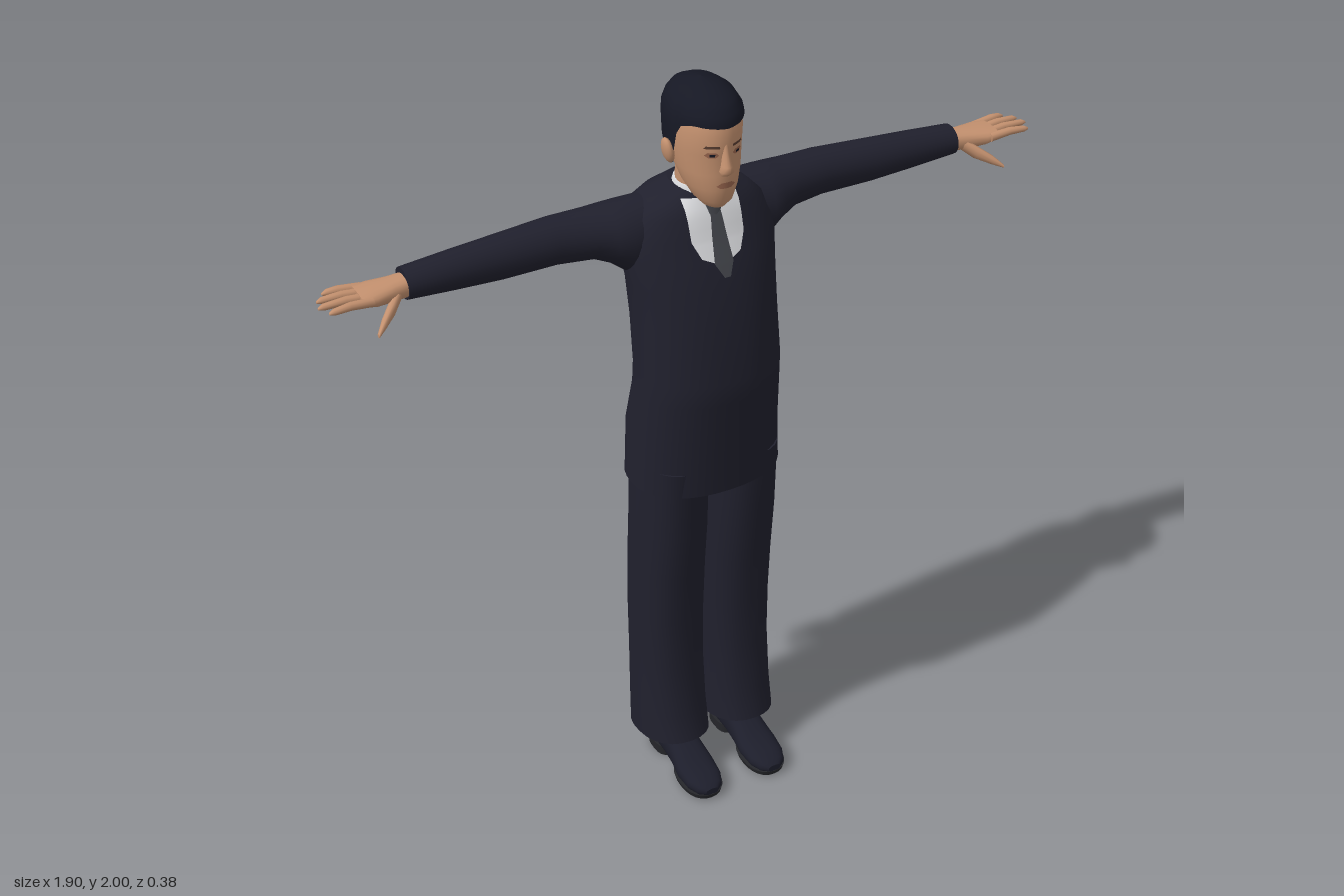
import * as THREE from 'three';

// Ring point of a superellipse at an angle
const arc = (a, n) => {
  const f = v => Math.sign(v) * Math.abs(v) ** (2 / n);
  return [f(Math.cos(a)), f(Math.sin(a))];
};

function build(pos, idx) {
  const g = new THREE.BufferGeometry();
  g.setAttribute('position', new THREE.Float32BufferAttribute(pos, 3));
  g.setIndex(idx);
  g.computeVertexNormals();
  return g;
}

// Capped loft along an axis. Rows: [t, centre1, radius1, centre2, radius2], t ascending.
// The two ring directions are y,z for axis x; z,x for axis y; x,y for axis z.
function loft(axis, rows, { seg = 24, n = 2, slant = 0 } = {}) {
  const pos = [], idx = [], k = 'xyz'.indexOf(axis);
  const put = (t, u, v) => {
    const p = [];
    p[k] = t; p[(k + 1) % 3] = u; p[(k + 2) % 3] = v;
    pos.push(...p);
  };
  const ring = ([t, c1, r1, c2, r2], tilt) => {
    for (let j = 0; j < seg; j++) {
      const [u, v] = arc(j / seg * Math.PI * 2, n);
      put(t + tilt * u * r1, c1 + u * r1, c2 + v * r2);
    }
  };
  rows.forEach((r, i) => ring(r, i ? 0 : slant));
  for (let i = 0; i < rows.length - 1; i++)
    for (let j = 0; j < seg; j++) {
      const a = i * seg + j, b = i * seg + (j + 1) % seg;
      idx.push(a, b, b + seg, a, b + seg, a + seg);
    }
  [0, rows.length - 1].forEach((i, end) => {
    const s = pos.length / 3, r = rows[i];
    ring(r, i ? 0 : slant);
    put(r[0], r[1], r[3]);
    for (let j = 0; j < seg; j++) {
      const a = s + j, b = s + (j + 1) % seg;
      end ? idx.push(a, b, s + seg) : idx.push(b, a, s + seg);
    }
  });
  return build(pos, idx);
}

// Body profile rows [y, halfWidth, zFront, zBack]
const toRows = (prof, x = 0) => prof.map(([y, w, f, b]) => [y, (f + b) / 2, (f - b) / 2, x, w]);

function sample(table, t) {
  let i = 0;
  while (i < table.length - 2 && t > table[i + 1][0]) i++;
  const k = THREE.MathUtils.clamp((t - table[i][0]) / (table[i + 1][0] - table[i][0]), 0, 1);
  return table[i].map((v, j) => v + (table[i + 1][j] - v) * k);
}

// Thin patch lying on the front of a profile. Rows: [y, xMin, xMax], y ascending.
function decal(prof, n, rows, off) {
  const pos = [], idx = [], cols = 10, steps = 4 * (rows.length - 1);
  for (let i = 0; i <= steps; i++) {
    const s = Math.min(Math.floor(i / 4), rows.length - 2), k = i / 4 - s;
    const [y, x0, x1] = rows[s].map((v, j) => v + (rows[s + 1][j] - v) * k);
    const [, w, f, b] = sample(prof, y);
    for (let j = 0; j <= cols; j++) {
      const x = x0 + (x1 - x0) * j / cols;
      const z = (1 - Math.min(1, Math.abs(x / w)) ** n) ** (1 / n);
      pos.push(x, y, (f + b) / 2 + (f - b) / 2 * z + off);
      if (i < steps && j < cols) {
        const a = i * (cols + 1) + j, c = a + cols + 1;
        idx.push(a, a + 1, c + 1, a, c + 1, c);
      }
    }
  }
  return build(pos, idx);
}

function mirrored(g) {
  const m = g.clone().scale(-1, 1, 1), a = m.index.array;
  for (let i = 0; i < a.length; i += 3) [a[i], a[i + 1]] = [a[i + 1], a[i]];
  m.computeVertexNormals();
  return m;
}

const TORSO = [
  [0.93, 0.2, 0.11, -0.185], [1.08, 0.193, 0.118, -0.188], [1.2, 0.185, 0.13, -0.157],
  [1.26, 0.184, 0.133, -0.152], [1.4, 0.184, 0.11, -0.162], [1.5, 0.188, 0.09, -0.172],
  [1.57, 0.197, 0.065, -0.182], [1.62, 0.195, 0.045, -0.186], [1.67, 0.172, 0.03, -0.182],
  [1.7, 0.13, 0.018, -0.165], [1.73, 0.065, 0, -0.13],
];
const HEAD = [
  [1.705, 0.028, 0.06, -0.02], [1.725, 0.045, 0.078, -0.05], [1.76, 0.063, 0.084, -0.08],
  [1.8, 0.074, 0.086, -0.11], [1.85, 0.081, 0.083, -0.125], [1.9, 0.083, 0.089, -0.135],
  [1.95, 0.074, 0.07, -0.125], [1.98, 0.045, 0.03, -0.095],
];
const HAIR = [
  [1.75, 0.066, 0.08, -0.115], [1.8, 0.079, 0.088, -0.137], [1.85, 0.086, 0.088, -0.148],
  [1.9, 0.089, 0.094, -0.15], [1.94, 0.087, 0.089, -0.147], [1.97, 0.07, 0.065, -0.13],
  [1.99, 0.042, 0.02, -0.09], [2, 0, -0.035, -0.035],
];
// Hairline height by angle from the front
const HAIRLINE = [[0, 1.92], [50, 1.925], [72, 1.912], [82, 1.84], [100, 1.84], [115, 1.79], [140, 1.76], [180, 1.755]];

function hairGeometry() {
  const pos = [], idx = [], cols = 48, rows = 10;
  for (let i = 0; i <= rows; i++)
    for (let j = 0; j < cols; j++) {
      const a = j / cols * 360, h = sample(HAIRLINE, Math.min(a, 360 - a))[1];
      const y = h + (2 - h) * Math.sin(i / rows * Math.PI / 2);
      const [, w, f, b] = sample(HAIR, y), [u, v] = arc(a * Math.PI / 180, 2);
      pos.push(v * w, y, (f + b) / 2 + u * (f - b) / 2);
      if (i < rows) {
        const p = i * cols + j, q = i * cols + (j + 1) % cols;
        idx.push(p, q, q + cols, p, q + cols, p + cols);
      }
    }
  return build(pos, idx);
}

export function createModel() {
  const model = new THREE.Group();
  model.name = 'manInSuit';
  const mat = (name, color) => Object.assign(new THREE.MeshStandardMaterial({ color }), { name });
  const suit = mat('navy suit', 0x20202d), skin = mat('skin', 0xc4916f), hair = mat('black hair', 0x161824);
  const shirt = mat('white shirt', 0xdcdde0), tie = mat('grey tie', 0x44464c);
  const shoe = mat('shoe leather', 0x1d1e2b), sole = mat('shoe sole', 0x25262a);
  const brow = mat('brow brown', 0x5c4033), lip = mat('lip', 0x9c6850);
  hair.side = THREE.DoubleSide;

  const add = (name, geo, m) => {
    const mesh = new THREE.Mesh(geo, m);
    mesh.name = name;
    model.add(mesh);
  };
  const pair = (name, geo, m) => {
    add(name + 'Left', geo, m);
    add(name + 'Right', mirrored(geo), m);
  };

  // Jacket with sleeves
  add('jacket', loft('y', toRows(TORSO), { seg: 40, n: 2.3 }), suit);
  pair('sleeve', loft('x', [
    [0.1, 1.615, 0.085, -0.09, 0.075], [0.19, 1.61, 0.088, -0.09, 0.085], [0.225, 1.622, 0.073, -0.094, 0.078],
    [0.27, 1.63, 0.061, -0.1, 0.068], [0.36, 1.632, 0.058, -0.106, 0.058], [0.5, 1.63, 0.054, -0.1, 0.052],
    [0.62, 1.632, 0.047, -0.094, 0.047], [0.74, 1.633, 0.038, -0.09, 0.042],
  ]), suit);

  // Trousers, hem lower at the back
  pair('trouserLeg', loft('y', toRows([
    [0.1, 0.093, 0.085, -0.17], [0.2, 0.092, 0.065, -0.168], [0.35, 0.091, 0.048, -0.165],
    [0.5, 0.092, 0.05, -0.166], [0.65, 0.092, 0.062, -0.163], [0.8, 0.091, 0.08, -0.155], [1, 0.088, 0.095, -0.155],
  ], 0.098), { n: 2.3, slant: 0.18 }), suit);

  // Shoes
  pair('shoe', loft('z', [
    [-0.115, 0.095, 0.03, 0.06, 0.04], [-0.09, 0.095, 0.042, 0.065, 0.055], [0, 0.095, 0.045, 0.067, 0.055],
    [0.05, 0.095, 0.048, 0.054, 0.043], [0.1, 0.096, 0.054, 0.04, 0.03], [0.15, 0.096, 0.05, 0.034, 0.024],
    [0.18, 0.096, 0.037, 0.031, 0.018], [0.195, 0.096, 0.018, 0.028, 0.01],
  ], { n: 2.5 }), shoe);
  pair('shoeSole', loft('y', [[0.006, 0.115, 0.078, 0.096, 0.052], [0.02, 0.115, 0.082, 0.096, 0.056]], { n: 2.3 }), sole);
  pair('shoeHeel', loft('y', [[0, -0.065, 0.05, 0.095, 0.042], [0.03, -0.065, 0.052, 0.095, 0.044]], { n: 3 }), sole);

  // Hands: palm, four fingers, thumb
  pair('palm', loft('x', [
    [0.72, 1.632, 0.026, -0.087, 0.032], [0.77, 1.63, 0.025, -0.085, 0.036],
    [0.82, 1.632, 0.021, -0.082, 0.047], [0.855, 1.636, 0.014, -0.08, 0.047],
  ], { seg: 16, n: 2.4 }), skin);
  [[-0.117, -0.122, 0.922], [-0.092, -0.094, 0.945], [-0.067, -0.065, 0.952], [-0.042, -0.033, 0.938]].forEach(([z0, z1, tip], i) =>
    pair('finger' + (i + 1), loft('x', [
      [0.83, 1.635, 0.011, z0, 0.012], [0.885, 1.642, 0.01, (z0 + z1) / 2, 0.0105],
      [tip - 0.012, 1.641, 0.008, z1, 0.008], [tip, 1.639, 0.003, z1, 0.003],
    ], { seg: 10 }), skin));
  pair('thumb', loft('x', [
    [0.755, 1.628, 0.016, -0.07, 0.016], [0.785, 1.607, 0.019, -0.045, 0.018],
    [0.82, 1.588, 0.013, -0.015, 0.013], [0.842, 1.574, 0.005, 0.005, 0.006],
  ], { seg: 10 }), skin);

  // Collar, shirt front and tie
  add('collar', loft('y', [[1.66, -0.055, 0.068, 0, 0.077], [1.715, -0.052, 0.064, 0, 0.068], [1.738, -0.05, 0.062, 0, 0.06]], { slant: -0.1 }), shirt);
  add('shirtFront', decal(TORSO, 2.3, [[1.565, -0.02, 0.02], [1.58, -0.052, 0.052], [1.62, -0.07, 0.07], [1.715, -0.072, 0.072]], 0.005), shirt);
  add('tieBlade', decal(TORSO, 2.3, [[1.53, -0.004, 0.012], [1.565, -0.024, 0.026], [1.69, -0.013, 0.013]], 0.009), tie);
  add('tieKnot', loft('y', [[1.668, 0.026, 0.012, 0, 0.014], [1.705, 0.016, 0.015, 0, 0.023]], { seg: 12, n: 3 }), tie);

  // Neck, head, ears and hair
  add('neck', loft('y', [[1.66, -0.055, 0.055, 0, 0.055], [1.79, -0.045, 0.058, 0, 0.056]]), skin);
  add('head', loft('y', toRows(HEAD), { seg: 32 }), skin);
  pair('ear', new THREE.SphereGeometry(1, 14, 10).scale(0.013, 0.033, 0.022).rotateZ(-0.2).translate(0.088, 1.832, -0.035), skin);
  add('hair', hairGeometry(), hair);

  // Face
  add('nose', loft('y', [
    [1.8, 0.083, 0.009, 0, 0.013], [1.812, 0.083, 0.023, 0, 0.018], [1.825, 0.081, 0.022, 0, 0.014],
    [1.855, 0.078, 0.013, 0, 0.009], [1.88, 0.077, 0.009, 0, 0.007],
  ], { seg: 14 }), skin);
  pair('eyeLid', decal(HEAD, 2, [[1.846, 0.025, 0.04], [1.853, 0.018, 0.048], [1.86, 0.025, 0.042]], 0.002), lip);
  pair('eye', decal(HEAD, 2, [[1.85, 0.028, 0.038], [1.856, 0.027, 0.039]], 0.004), hair);
  pair('eyebrow', decal(HEAD, 2, [[1.87, 0.016, 0.05], [1.877, 0.018, 0.046]], 0.002), brow);
  add('mouth', decal(HEAD, 2, [[1.767, -0.014, 0.014], [1.774, -0.025, 0.025], [1.782, -0.012, 0.012]], 0.003), lip);
  return model;
}
